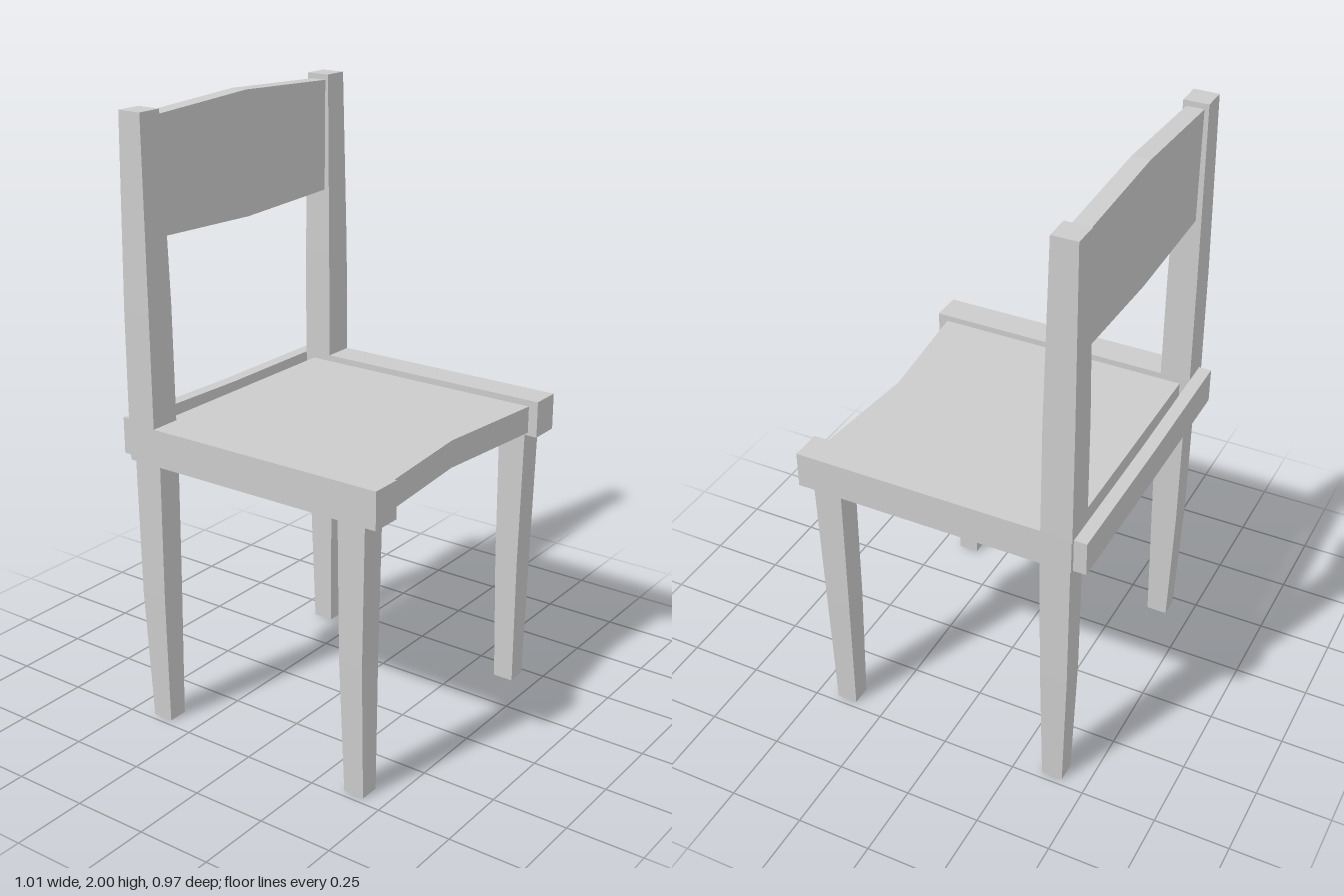
import * as THREE from 'three';

const material = new THREE.MeshStandardMaterial({ color: 0xcccccc, flatShading: true, side: THREE.DoubleSide });

// Flat outline extruded along z from z0 to z1
function plate(name, points, z0, z1) {
  const shape = new THREE.Shape(points.map(([x, y]) => new THREE.Vector2(x, y)));
  const geometry = new THREE.ExtrudeGeometry(shape, { depth: z1 - z0, bevelEnabled: false });
  geometry.translate(0, 0, z0);
  const mesh = new THREE.Mesh(geometry, material);
  mesh.name = name;
  return mesh;
}

// Square bar through rectangular sections [y, x0, x1, z0, z1], listed bottom to top
function taperedBar(name, sections) {
  const geometry = new THREE.BoxGeometry(1, 1, 1, 1, sections.length - 1, 1);
  const p = geometry.attributes.position;
  for (let i = 0; i < p.count; i++) {
    const level = Math.round((p.getY(i) + 0.5) * (sections.length - 1));
    const [y, x0, x1, z0, z1] = sections[level];
    p.setXYZ(i, p.getX(i) < 0 ? x0 : x1, y, p.getZ(i) < 0 ? z0 : z1);
  }
  geometry.computeVertexNormals();
  const mesh = new THREE.Mesh(geometry, material);
  mesh.name = name;
  return mesh;
}

export function createModel() {
  const chair = new THREE.Group();
  chair.name = 'chair';

  // Sections for the left side; the right side is mirrored
  const parts = {
    FrontLeg: [
      [0, 0.41, 0.477, 0.357, 0.427],
      [0.45, 0.407, 0.49, 0.347, 0.43],
      [0.92, 0.407, 0.493, 0.344, 0.44],
    ],
    RearLeg: [
      [0, 0.41, 0.477, -0.417, -0.346],
      [0.45, 0.407, 0.49, -0.431, -0.34],
      [0.92, 0.407, 0.493, -0.434, -0.334],
    ],
    SideRail: [
      [0.912, 0.402, 0.506, -0.442, 0.486],
      [1.033, 0.402, 0.506, -0.442, 0.486],
    ],
    BackPost: [
      [1.02, 0.402, 0.506, -0.444, -0.342],
      [1.4, 0.403, 0.505, -0.443, -0.344],
      [1.998, 0.413, 0.497, -0.436, -0.354],
    ],
  };
  for (const [part, sections] of Object.entries(parts)) {
    chair.add(taperedBar('left' + part, sections));
    const mirrored = sections.map(([y, x0, x1, z0, z1]) => [y, -x1, -x0, z0, z1]);
    chair.add(taperedBar('right' + part, mirrored));
  }

  // Seat panel with a shallow notch along its front edge, laid flat
  const seat = plate('seat', [
    [-0.404, -0.41], [0.404, -0.41], [0.404, 0.454], [0, 0.416], [-0.404, 0.454],
  ], 0, 0.09);
  seat.rotation.x = Math.PI / 2;
  seat.position.y = 1.012;
  chair.add(seat);

  // Bowed backrest between the posts
  chair.add(plate('backrest', [
    [-0.415, 1.615], [0, 1.6], [0.415, 1.615], [0.415, 1.98], [0, 2], [-0.415, 1.98],
  ], -0.422, -0.365));

  // Rear rail behind the posts
  chair.add(plate('rearRail', [
    [-0.486, 0.918], [0, 0.914], [0.496, 0.914], [0.496, 1.028], [0, 1.027], [-0.486, 1.037],
  ], -0.486, -0.444));

  return chair;
}
